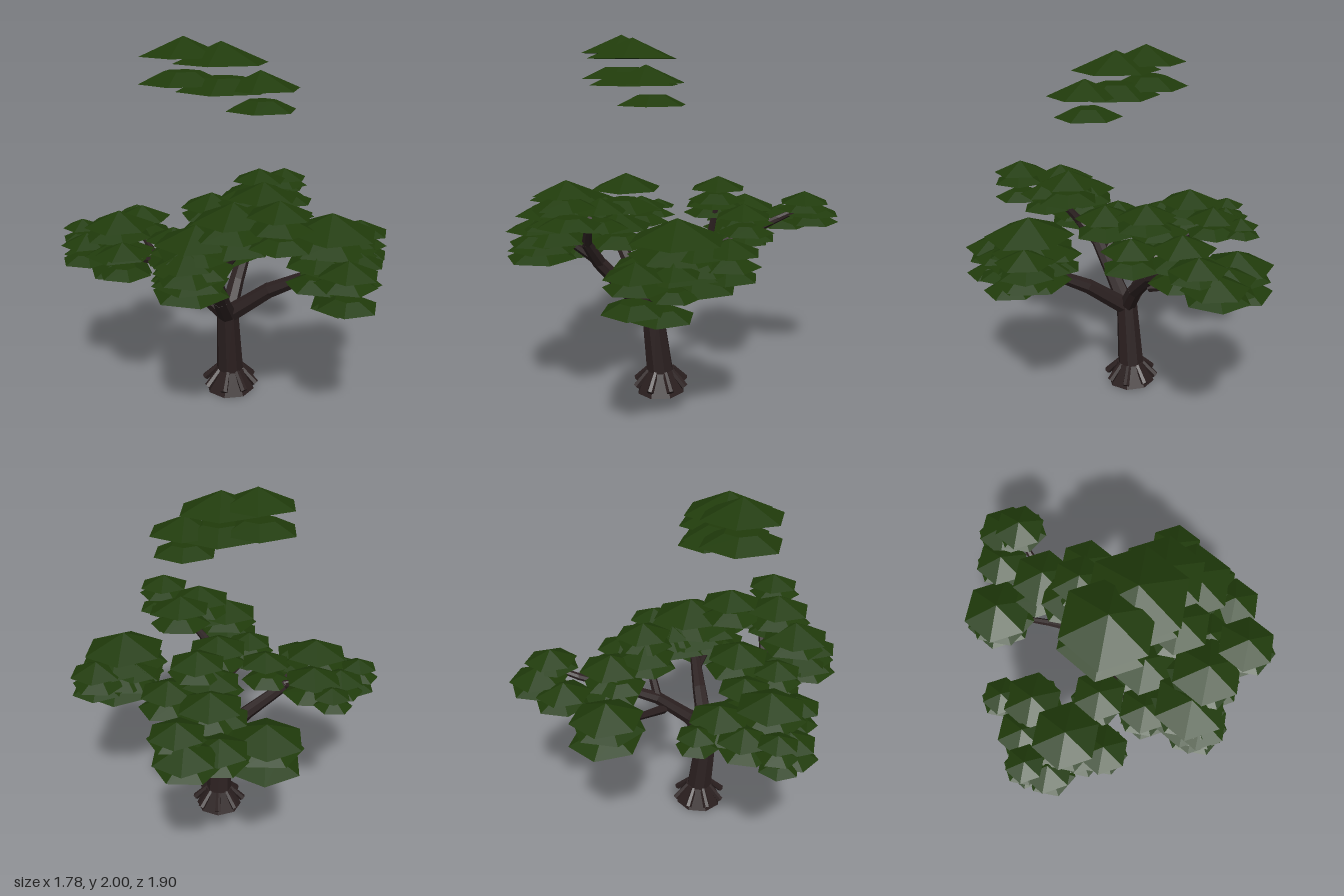
import * as THREE from 'three';

const bark = new THREE.MeshStandardMaterial({ color: 0x2b2020, flatShading: true });
bark.name = 'dark bark';
const leaf = new THREE.MeshStandardMaterial({ color: 0x203b0b, flatShading: true });
leaf.name = 'leaf green';

const UP = new THREE.Vector3(0, 1, 0);

// Tapered, faceted limb through points [x, y, z, radius]
function limb(name, points, sides = 7) {
  const group = new THREE.Group();
  group.name = name;
  for (let i = 0; i < points.length - 1; i++) {
    const a = new THREE.Vector3(...points[i].slice(0, 3));
    const b = new THREE.Vector3(...points[i + 1].slice(0, 3));
    const dir = b.clone().sub(a);
    const overlap = i < points.length - 2 ? points[i + 1][3] * 0.3 : 0;
    const length = dir.length() + overlap;
    dir.normalize();
    const mesh = new THREE.Mesh(new THREE.CylinderGeometry(points[i + 1][3], points[i][3], length, sides), bark);
    mesh.name = name + 'Section';
    mesh.quaternion.setFromUnitVectors(UP, dir);
    mesh.position.copy(a).addScaledVector(dir, length / 2);
    group.add(mesh);
  }
  return group;
}

// Flat-bottomed hexagonal leaf pad: a pointed one on top, truncated ones beneath
function leafPad(x, y, z, r, pointed, turn) {
  const h = r * (pointed ? 0.43 : 0.27);
  const mesh = new THREE.Mesh(new THREE.CylinderGeometry(pointed ? 0 : r * 0.42, r, h, 6), leaf);
  mesh.name = 'leafPad';
  mesh.position.set(x, y + h / 2, z);
  mesh.rotation.y = turn;
  return mesh;
}

// Stacks of pads: [x, z, radius, base heights from the top down, blunt top]
const foliage = {
  crownFoliage: [
    [-0.175, 0.255, 0.228, [1.9, 1.765]],
    [0.02, 0.26, 0.248, [1.87, 1.735]],
    [0.22, 0.26, 0.21, [1.75]],
    [0.22, 0.23, 0.187, [1.64], true],
  ],
  leftFoliage: [
    [-0.6, -0.12, 0.109, [0.95, 0.89]],
    [-0.51, 0.03, 0.164, [0.97, 0.88]],
    [-0.67, 0.1, 0.142, [0.93, 0.85]],
    [-0.79, 0.23, 0.109, [0.95, 0.885, 0.8]],
    [-0.54, 0.3, 0.19, [1.0, 0.94, 0.84]],
    [-0.5, 0.37, 0.175, [0.88, 0.765]],
    [-0.45, 0.49, 0.142, [0.91, 0.8]],
    [-0.72, 0.33, 0.142, [0.89, 0.8]],
  ],
  rightFoliage: [
    [0.6, 0.25, 0.245, [1.03, 0.95, 0.87]],
    [0.63, 0.16, 0.215, [0.97, 0.89, 0.8]],
    [0.73, 0.04, 0.156, [0.98, 0.91, 0.86]],
    [0.71, 0.5, 0.156, [0.91, 0.85, 0.75]],
    [0.75, 0.33, 0.131, [0.91, 0.8]],
    [0.51, 0.1, 0.131, [0.95, 0.88]],
    [0.55, 0.39, 0.164, [0.91, 0.8]],
    [0.67, 0.36, 0.164, [0.685], true],
  ],
  frontFoliage: [
    [0.41, 0.73, 0.157, [1.25, 1.19, 1.1]],
    [0.27, 0.39, 0.18, [1.235, 1.135]],
    [0.18, 0.66, 0.197, [1.19, 1.12, 1.06]],
    [0.35, 0.55, 0.142, [1.15, 1.06]],
    [0.01, 0.7, 0.202, [1.08, 1.02, 0.94]],
    [-0.01, 0.795, 0.156, [1.0, 0.93]],
    [0, 0.76, 0.188, [0.9, 0.85], true],
    [-0.14, 0.52, 0.142, [0.96, 0.9, 0.82]],
    [-0.24, 0.28, 0.153, [0.94, 0.82]],
    [0.05, 0.36, 0.185, [0.99, 0.9]],
  ],
  backFoliage: [
    [0.19, -0.71, 0.147, [1.07, 1.03]],
    [0.15, -0.785, 0.167, [0.99, 0.94]],
    [-0.01, -0.68, 0.153, [0.96, 0.9]],
    [-0.24, -0.5, 0.202, [0.91, 0.85, 0.765]],
    [0.05, -0.4, 0.18, [1.04, 0.95, 0.86]],
    [-0.01, -0.37, 0.15, [0.95], true],
    [0.28, -0.27, 0.158, [1.04, 0.95]],
    [0.13, -0.19, 0.158, [1.175, 1.11]],
    [0.06, -0.2, 0.169, [1.07, 1.02]],
  ],
};

export function createModel() {
  const tree = new THREE.Group();
  tree.name = 'tree';

  // Trunk with flared foot
  tree.add(limb('trunkFoot', [[0.035, 0, 0.115, 0.14], [0.035, 0.125, 0.12, 0.085]], 8));
  tree.add(limb('trunk', [[0.035, 0.08, 0.118, 0.08], [0.03, 0.5, 0.165, 0.062]], 8));

  // Roots around the foot
  for (let i = 0; i < 8; i++) {
    const a = (i / 8) * Math.PI * 2;
    const c = Math.cos(a), s = Math.sin(a);
    tree.add(limb('root', [
      [0.035 + c * 0.07, 0.125, 0.118 + s * 0.07, 0.016],
      [0.035 + c * 0.15, 0.04, 0.118 + s * 0.15, 0.021],
    ], 6));
  }

  // Main branches
  tree.add(limb('leftBranch', [[0.03, 0.48, 0.165, 0.052], [-0.13, 0.63, 0.2, 0.043],
    [-0.36, 0.81, 0.23, 0.032], [-0.7, 0.9, 0.23, 0.014]]));
  tree.add(limb('rightBranch', [[0.04, 0.48, 0.165, 0.052], [0.27, 0.66, 0.2, 0.043],
    [0.52, 0.8, 0.25, 0.03], [0.72, 0.87, 0.2, 0.014]]));
  tree.add(limb('frontBranch', [[0.03, 0.47, 0.165, 0.054], [0.03, 0.62, 0.31, 0.045],
    [0.04, 0.8, 0.47, 0.038], [0.12, 0.93, 0.56, 0.028], [0.25, 1.09, 0.58, 0.017]]));
  tree.add(limb('backBranch', [[0.03, 0.48, 0.165, 0.052], [0.05, 0.63, 0.05, 0.044],
    [0.07, 0.78, -0.13, 0.036], [0.09, 0.87, -0.32, 0.028],
    [0.13, 0.97, -0.57, 0.02], [0.18, 1.05, -0.75, 0.012]]));

  // Side twigs
  const twigs = [
    [[0.07, 0.78, -0.13, 0.026], [0.12, 0.92, -0.15, 0.022], [0.15, 1.12, -0.18, 0.014]],
    [[0.05, 0.71, -0.1, 0.028], [-0.06, 0.76, -0.27, 0.02], [-0.22, 0.85, -0.47, 0.013]],
    [[0.04, 0.72, 0.4, 0.028], [-0.08, 0.82, 0.47, 0.02], [-0.15, 0.88, 0.52, 0.013]],
    [[0.04, 0.8, 0.47, 0.026], [0.02, 0.95, 0.66, 0.015]],
    [[-0.3, 0.77, 0.22, 0.024], [-0.45, 0.87, 0.42, 0.013]],
    [[-0.36, 0.81, 0.23, 0.022], [-0.52, 0.89, 0.05, 0.012]],
    [[0.4, 0.73, 0.22, 0.026], [0.66, 0.83, 0.45, 0.012]],
  ];
  for (const points of twigs) tree.add(limb('twig', points, 6));

  // Foliage clusters
  let n = 0;
  for (const [name, stacks] of Object.entries(foliage)) {
    const cluster = new THREE.Group();
    cluster.name = name;
    for (const [x, z, r, heights, blunt] of stacks) {
      heights.forEach((y, i) => {
        n++;
        // Lower pads shift slightly and alternate their corners
        const shift = i ? 0.012 : 0;
        const turn = name !== 'crownFoliage' && i % 2 ? Math.PI / 6 : 0;
        cluster.add(leafPad(x + Math.sin(n * 2.1) * shift, y, z + Math.cos(n * 2.1) * shift,
          r, i === 0 && !blunt, turn));
      });
    }
    tree.add(cluster);
  }
  return tree;
}
